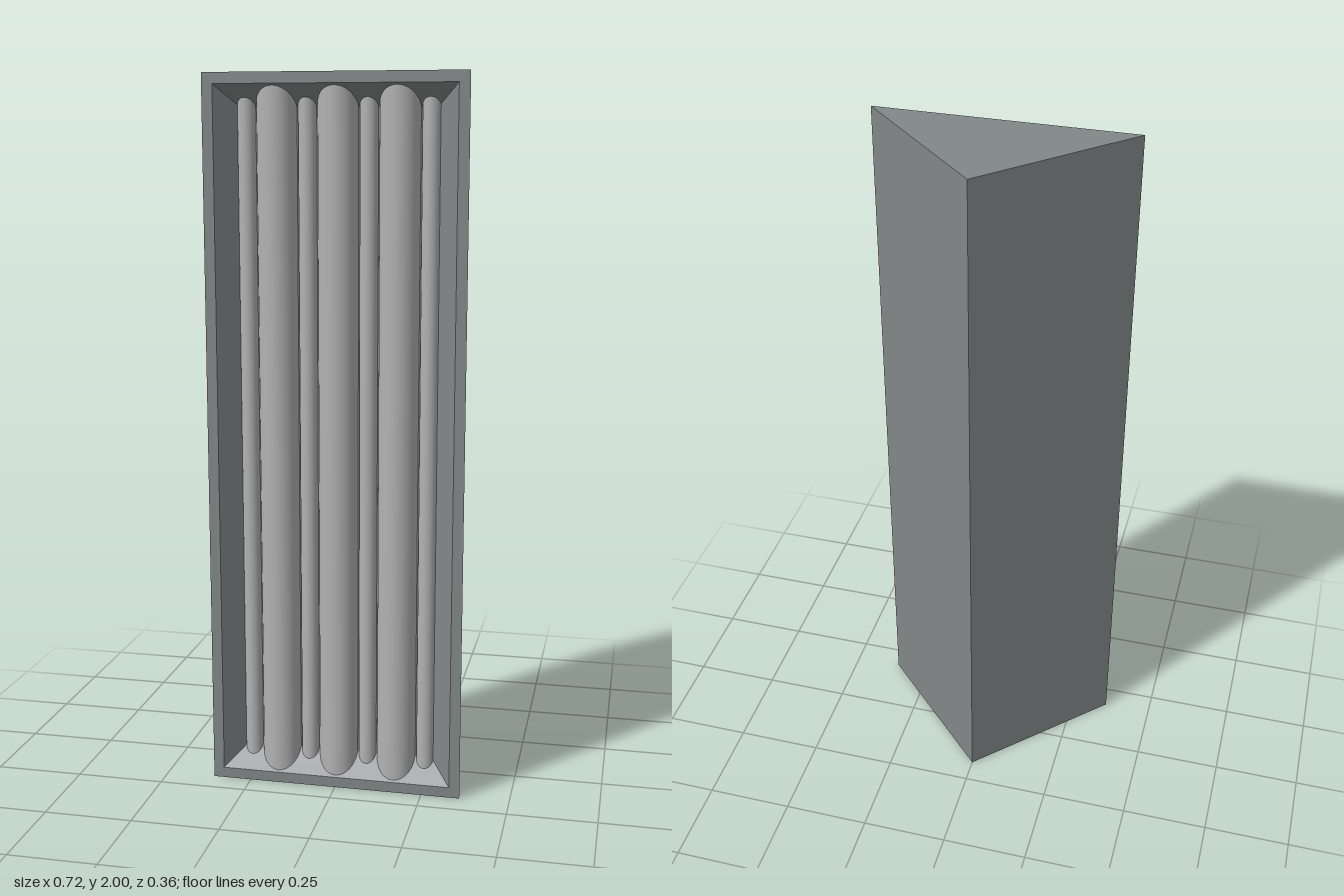
import * as THREE from 'three';

const bodyGrey = new THREE.MeshStandardMaterial({ color: 0x828787 });
bodyGrey.name = 'bodyGrey';
const tubeGrey = new THREE.MeshStandardMaterial({ color: 0xb2b2b2 });
tubeGrey.name = 'tubeGrey';

const HEIGHT = 2, HALF_WIDTH = 0.36, FRONT = 0.18, BACK = -0.18;
const RIM = 0.03, BEVEL = 0.06, FLOOR = FRONT - BEVEL;

// Flat-shaded geometry from convex polygons, corners counter-clockwise
function polygons(faces) {
  const points = [];
  for (const face of faces)
    for (let i = 1; i < face.length - 1; i++) points.push(...face[0], ...face[i], ...face[i + 1]);
  const geometry = new THREE.BufferGeometry();
  geometry.setAttribute('position', new THREE.Float32BufferAttribute(points, 3));
  geometry.computeVertexNormals();
  return geometry;
}

// Front rectangle moved in from the outline by inset, at depth z
function rectangle(inset, z) {
  const x = HALF_WIDTH - inset, low = inset, high = HEIGHT - inset;
  return [[-x, low, z], [x, low, z], [x, high, z], [-x, high, z]];
}

// Four quads joining an outer rectangle to an inner one
function band(outer, inner) {
  return outer.map((p, i) => [p, outer[(i + 1) % 4], inner[(i + 1) % 4], inner[i]]);
}

export function createModel() {
  const group = new THREE.Group();
  const add = (name, geometry, material) => {
    const mesh = new THREE.Mesh(geometry, material);
    mesh.name = name;
    group.add(mesh);
    return mesh;
  };

  const outline = rectangle(0, FRONT);
  const rim = rectangle(RIM, FRONT);
  const floor = rectangle(RIM + BEVEL, FLOOR);
  const [bottomRight, bottomLeft, topLeft, topRight] = outline;
  const backBottom = [0, 0, BACK], backTop = [0, HEIGHT, BACK];

  // Triangular housing, open at the front
  add('housing', polygons([
    [bottomLeft, backBottom, backTop, topLeft],
    [backBottom, bottomRight, topRight, backTop],
    [topRight, topLeft, backTop],
    [bottomLeft, bottomRight, backBottom],
  ]), bodyGrey);

  // Flat rim, sloping recess walls and recess floor
  add('frontRim', polygons(band(outline, rim)), bodyGrey);
  add('recessWalls', polygons(band(rim, floor)), bodyGrey);
  add('recessFloor', polygons([floor]), bodyGrey);

  // Alternating thin and thick half-round tubes running into the sloped ends
  for (let i = -3; i <= 3; i++) {
    const thick = i % 2 === 0;
    const radius = thick ? 0.055 : 0.025;
    const length = HEIGHT - 2 * (RIM + BEVEL) + 2 * radius;
    const geometry = new THREE.CylinderGeometry(radius, radius, length, 24, 1, true, -Math.PI / 2, Math.PI);
    // Thick tubes sit at the centre and either side of it; thin ones fill the gaps
    const tube = add(thick ? 'thickTube' : 'thinTube', geometry, tubeGrey);
    tube.position.set(i * 0.084, HEIGHT / 2, FLOOR);
  }
  return group;
}
